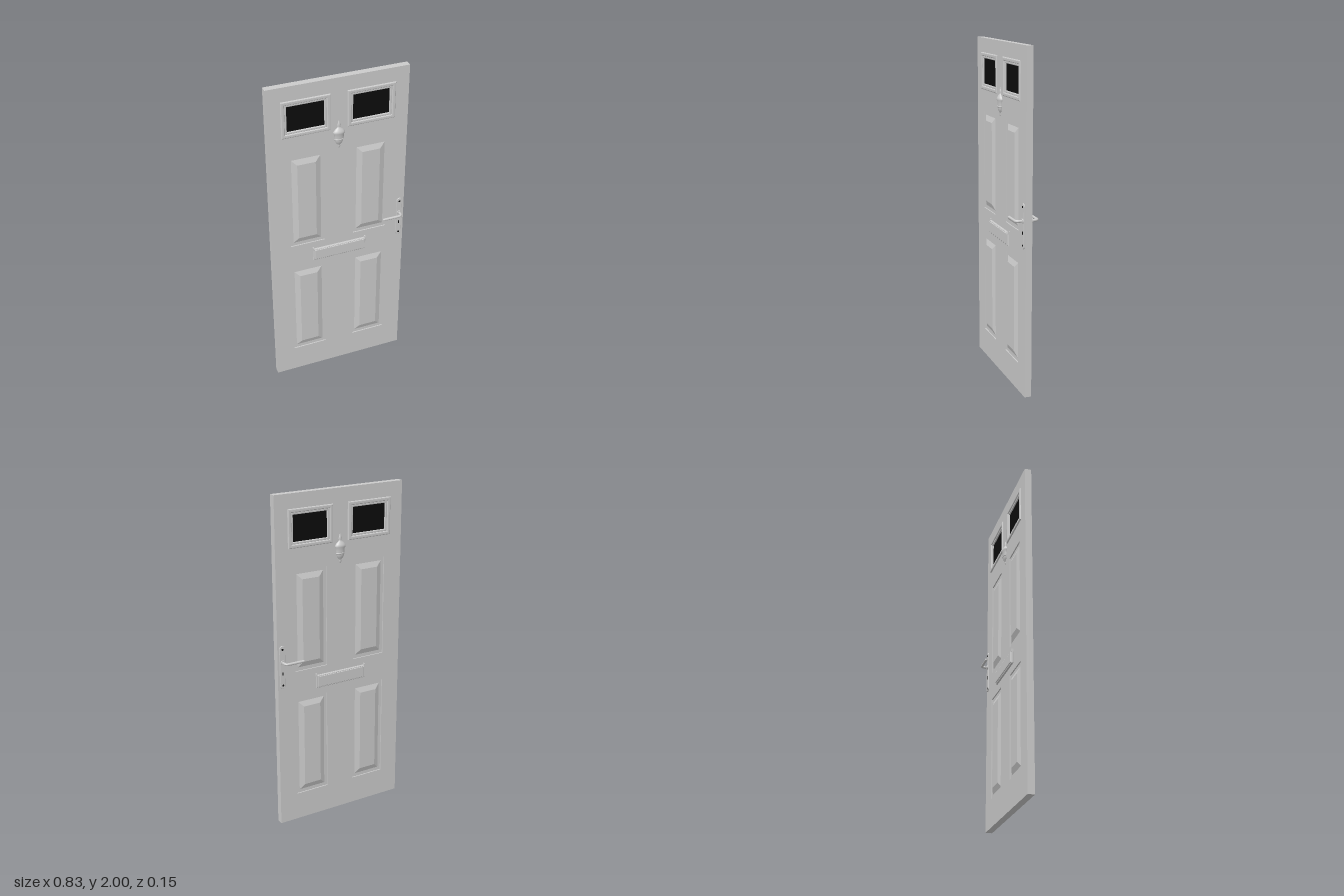
import * as THREE from 'three';

const grey = new THREE.MeshStandardMaterial({ color: 0xcccccc });
const black = new THREE.MeshStandardMaterial({ color: 0x0c0c0c });

function add(parent, name, geometry, x = 0, y = 0, z = 0, material = grey) {
  const mesh = new THREE.Mesh(geometry, material);
  mesh.name = name;
  mesh.position.set(x, y, z);
  parent.add(mesh);
  return mesh;
}

// Trace a centred rectangle, optionally offset, into a Shape or Path
function rect(target, w, h, x = 0, y = 0) {
  target.moveTo(x - w / 2, y - h / 2);
  target.lineTo(x + w / 2, y - h / 2);
  target.lineTo(x + w / 2, y + h / 2);
  target.lineTo(x - w / 2, y + h / 2);
  target.closePath();
  return target;
}

// Extrusion centred on z = 0 whose total thickness includes its bevels
function slab(shape, depth, bevel = 0, segments = 1, bevelDepth = bevel) {
  const g = new THREE.ExtrudeGeometry(shape, {
    depth: depth - 2 * bevelDepth, bevelEnabled: bevel > 0, bevelSize: bevel,
    bevelThickness: bevelDepth, bevelOffset: -bevel, bevelSegments: segments, curveSegments: 12,
  });
  return g.translate(0, 0, -(depth - 2 * bevelDepth) / 2);
}

function frame(w, h, border, depth, bevel) {
  const shape = rect(new THREE.Shape(), w, h);
  shape.holes.push(rect(new THREE.Path(), w - 2 * border, h - 2 * border));
  return slab(shape, depth, bevel, 3);
}

// Upright plate with rounded ends
function pill(w, h) {
  const r = w / 2, s = new THREE.Shape();
  s.absarc(0, h / 2 - r, r, 0, Math.PI, false);
  s.absarc(0, -h / 2 + r, r, Math.PI, 2 * Math.PI, false);
  s.closePath();
  return s;
}

export function createModel() {
  const door = new THREE.Group();
  door.name = 'door';
  const windows = [-0.192, 0.192].map((x) => ({ x, y: 1.805, w: 0.285, h: 0.22 }));
  const panels = [];
  for (const x of [-0.195, 0.195]) {
    panels.push({ x, y: 1.265, w: 0.21, h: 0.6 }, { x, y: 0.48, w: 0.21, h: 0.62 });
  }

  // Leaf with openings for windows and panels
  const leaf = rect(new THREE.Shape(), 0.83, 2, 0, 1);
  for (const o of windows) leaf.holes.push(rect(new THREE.Path(), o.w - 0.02, o.h - 0.02, o.x, o.y));
  for (const o of panels) leaf.holes.push(rect(new THREE.Path(), o.w, o.h, o.x, o.y));
  add(door, 'leaf', slab(leaf, 0.04));

  // Sunken panels with raised bevelled fields on both faces
  for (const p of panels) {
    add(door, 'panelRecess', new THREE.BoxGeometry(p.w, p.h, 0.026), p.x, p.y);
    const field = rect(new THREE.Shape(), p.w - 0.035, p.h - 0.04);
    add(door, 'raisedPanel', slab(field, 0.05, 0.033, 1, 0.0125), p.x, p.y);
  }

  // Glazing with stepped mouldings
  for (const o of windows) {
    add(door, 'windowFrame', frame(o.w, o.h, 0.022, 0.056, 0.006), o.x, o.y);
    add(door, 'windowBead', frame(o.w - 0.04, o.h - 0.04, 0.014, 0.045, 0.004), o.x, o.y);
    add(door, 'glass', new THREE.BoxGeometry(o.w - 0.06, o.h - 0.06, 0.028), o.x, o.y, 0, black);
  }

  // Urn profile of the knocker
  const urn = [[0, 1.57], [0.006, 1.573], [0.008, 1.585], [0.006, 1.592], [0.016, 1.6],
    [0.024, 1.615], [0.028, 1.64], [0.029, 1.658], [0.035, 1.664], [0.035, 1.674], [0.029, 1.68],
    [0.022, 1.69], [0.011, 1.698], [0.008, 1.706], [0.012, 1.714], [0.007, 1.724], [0.005, 1.734], [0, 1.742]]
    .map(([r, y]) => new THREE.Vector2(r, y));

  // Fittings repeated on the front (s = 1) and back (s = -1)
  for (const s of [1, -1]) {
    const side = new THREE.Group();
    side.name = s > 0 ? 'frontFittings' : 'backFittings';
    door.add(side);

    add(side, 'knockerUrn', new THREE.LatheGeometry(urn, 28), 0, 0, 0.02 * s).scale.z = 0.57;
    const ring = add(side, 'knockerRing', new THREE.TorusGeometry(0.025, 0.004, 8, 28), 0, 1.628, 0.021 * s);
    ring.rotation.x = Math.PI / 2;
    ring.scale.y = 0.57;

    // Letter plate with hinged flap
    add(side, 'letterPlate', slab(rect(new THREE.Shape(), 0.335, 0.08), 0.012, 0.003, 2), 0, 0.877, 0.025 * s);
    add(side, 'letterFlap', slab(rect(new THREE.Shape(), 0.318, 0.066), 0.008, 0.003, 2), 0, 0.877, 0.032 * s);
    for (const x of [-0.164, 0.164]) {
      add(side, 'flapHinge', new THREE.BoxGeometry(0.007, 0.018, 0.014), x, 0.917, 0.026 * s);
    }
    const pin = add(side, 'flapPin', new THREE.CylinderGeometry(0.003, 0.003, 0.328, 10), 0, 0.912, 0.03 * s);
    pin.rotation.z = Math.PI / 2;

    // Handle plate, screws and keyhole
    const hx = 0.385;
    add(side, 'handlePlate', slab(pill(0.036, 0.262), 0.008, 0.002, 2), hx, 1.01, 0.022 * s);
    for (const y of [1.12, 0.9]) {
      const screw = add(side, 'screw', new THREE.CylinderGeometry(0.006, 0.006, 0.003, 14), hx, y, 0.026 * s, black);
      screw.rotation.x = Math.PI / 2;
    }
    add(side, 'keyhole', slab(pill(0.007, 0.02), 0.003), hx, 0.972, 0.026 * s, black);
    const collar = add(side, 'handleCollar', new THREE.CylinderGeometry(0.014, 0.014, 0.01, 24), hx, 1.04, 0.027 * s);
    collar.rotation.x = Math.PI / 2;

    // Bent lever
    const v = (x, z) => new THREE.Vector3(x, 1.04, z * s);
    const path = new THREE.CurvePath();
    path.add(new THREE.LineCurve3(v(hx, 0.02), v(hx, 0.046)));
    path.add(new THREE.QuadraticBezierCurve3(v(hx, 0.046), v(hx, 0.065), v(hx - 0.02, 0.065)));
    path.add(new THREE.LineCurve3(v(hx - 0.02, 0.065), v(0.271, 0.065)));
    add(side, 'lever', new THREE.TubeGeometry(path, 48, 0.0078, 14));
    add(side, 'leverTip', new THREE.SphereGeometry(0.0078, 14, 10), 0.271, 1.04, 0.065 * s);
  }
  return door;
}
